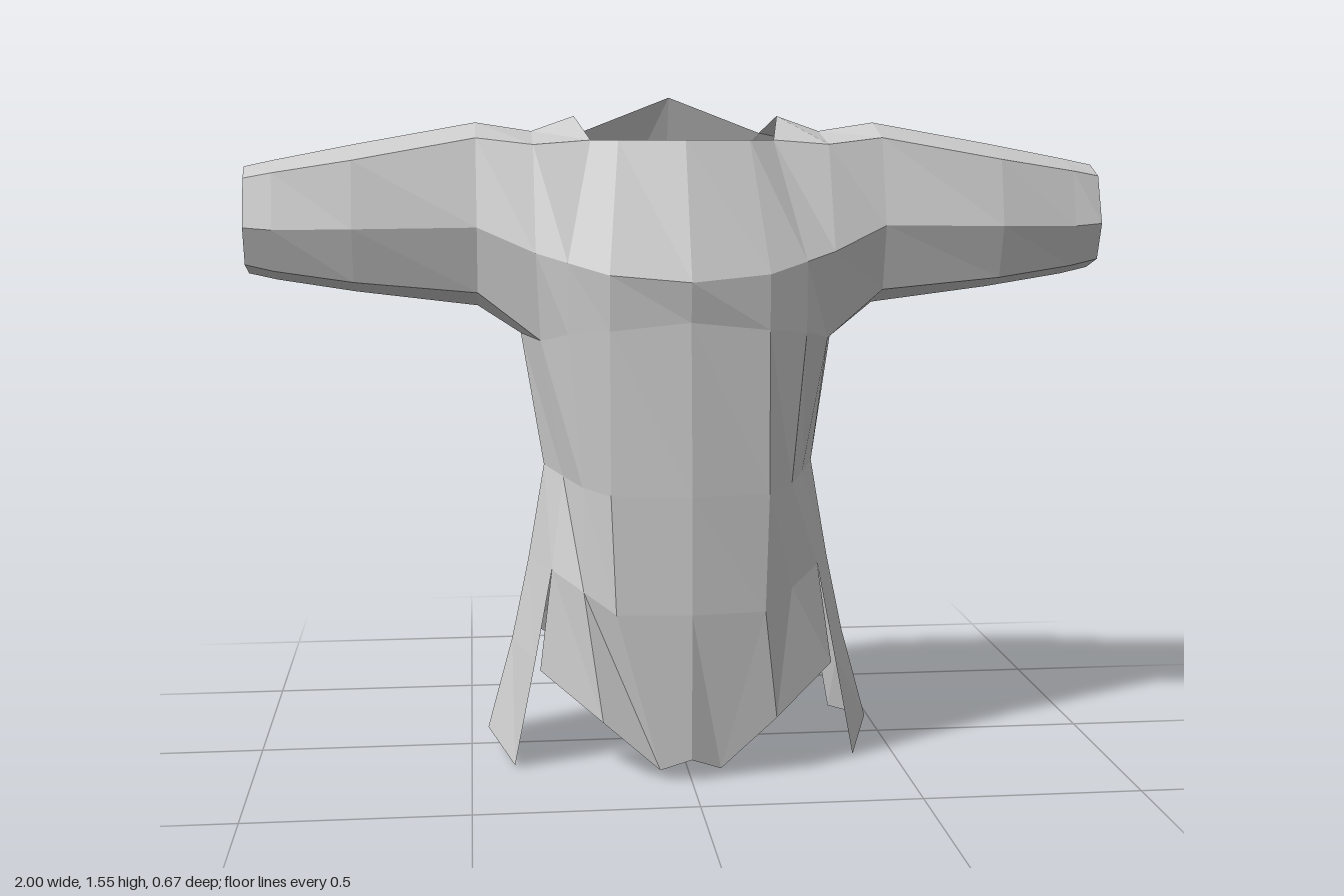
import * as THREE from 'three';

const cloth = new THREE.MeshStandardMaterial({ color: 0xcccccc, flatShading: true, side: THREE.DoubleSide });
cloth.name = 'greyCloth';

// Turns a list of three- or four-cornered faces into a mesh; side -1 mirrors it in x
function panel(name, faces, side) {
  const pos = [];
  for (const f of faces) {
    const pts = side > 0 ? f : [...f].reverse();
    for (let i = 1; i + 1 < pts.length; i++) {
      for (const p of [pts[0], pts[i], pts[i + 1]]) pos.push(p[0] * side, p[1], p[2]);
    }
  }
  const g = new THREE.BufferGeometry();
  g.setAttribute('position', new THREE.Float32BufferAttribute(pos, 3));
  g.computeVertexNormals();
  const m = new THREE.Mesh(g, cloth);
  m.name = name;
  return m;
}

// Quads between neighbouring rows of points
function grid(rows) {
  const faces = [];
  for (let r = 0; r + 1 < rows.length; r++) {
    for (let c = 0; c + 1 < rows[r].length; c++) {
      faces.push([rows[r][c], rows[r + 1][c], rows[r + 1][c + 1], rows[r][c + 1]]);
    }
  }
  return faces;
}

// Half rows of the body, running from the front centre round the side to the back centre
const armpit = [[0, 1.06, 0.31], [0.18, 1.04, 0.29], [0.27, 1.03, 0.25], [0.33, 1.01, 0.18],
  [0.37, 1.01, 0], [0.34, 1.01, -0.22], [0.16, 1.03, -0.305], [0, 1.04, -0.3]];
const waist = [[0, 0.67, 0.335], [0.18, 0.67, 0.3], [0.24, 0.68, 0.24], [0.28, 0.69, 0.14],
  [0.32, 0.7, 0.03], [0.27, 0.7, -0.115], [0.15, 0.7, -0.17], [0, 0.7, -0.175]];
const hip = [[0, 0.4, 0.335], [0.17, 0.4, 0.315], [0.24, 0.44, 0.255], [0.31, 0.48, 0.19],
  [0.36, 0.47, 0.03], [0.31, 0.48, -0.17], [0.16, 0.45, -0.225], [0, 0.45, -0.22]];

// Front and back above the armpits
const frontChest = [[0, 1.15, 0.325], [0.18, 1.165, 0.295], [0.27, 1.19, 0.25], [0.34, 1.21, 0.215]];
const frontNeck = [[0, 1.46, 0.19], [0.15, 1.46, 0.16], [0.21, 1.46, 0.12], [0.34, 1.45, 0.115]];
const backChest = [[0.34, 1.22, -0.27], [0.16, 1.21, -0.335], [0, 1.21, -0.32]];
const backNeck = [[0.34, 1.45, -0.165], [0.22, 1.475, -0.18], [0, 1.56, -0.195]];
const neckTop = [0.24, 1.515, -0.03];
const shoulderTop = [0.34, 1.48, -0.03];

// Sleeve rings: top, then down the front, under the arm and up the back
const shoulderRing = [shoulderTop, frontNeck[3], frontChest[3], armpit[3], armpit[4], armpit[5], backChest[0], backNeck[0]];
const ring = (x, yz) => yz.map(([y, z]) => [x, y, z]);
const sleeveRings = [
  shoulderRing,
  ring(0.47, [[1.5, -0.03], [1.465, 0.09], [1.265, 0.155], [1.115, 0.12], [1.075, -0.01], [1.11, -0.16], [1.24, -0.22], [1.46, -0.155]]),
  ring(0.75, [[1.45, -0.025], [1.415, 0.11], [1.262, 0.145], [1.14, 0.11], [1.11, -0.01], [1.14, -0.13], [1.255, -0.175], [1.415, -0.13]]),
  ring(0.93, [[1.415, -0.015], [1.387, 0.085], [1.26, 0.12], [1.165, 0.085], [1.14, 0], [1.165, -0.095], [1.262, -0.135], [1.39, -0.1]]),
  ring(0.995, [[1.4, -0.01], [1.375, 0.07], [1.265, 0.11], [1.18, 0.08], [1.155, 0], [1.18, -0.08], [1.265, -0.115], [1.375, -0.09]]),
];
sleeveRings[4][0][0] = sleeveRings[4][7][0] = sleeveRings[4][6][0] = 1;
// Rows run along the arm, with the first repeated to close the tube
const sleeveRows = [0, 1, 2, 3, 4, 5, 6, 7, 0].map((i) => sleeveRings.map((r) => r[i]));

// Skirt hems
const frontHem = [[0, 0.06, 0.33], [0.07, 0.03, 0.305], [0.2, 0.145, 0.3], [0.34, 0.25, 0.22]];
const sideMiddle = [[0.35, 0.27, 0.2], [0.4, 0.28, 0.03], [0.36, 0.27, -0.16]];
const sideHem = [[0.4, 0.015, 0.19], [0.46, 0.06, 0.03], [0.4, 0.035, -0.14]];
const backCorner = [0.34, 0.25, -0.2];
const backEdge = [0.2, 0.15, -0.245];
const backTip = [0.06, 0.01, -0.24];
const notchSide = [0.1, 0.22, -0.268];
const notchTop = [0, 0.24, -0.275];

export function createModel() {
  const model = new THREE.Group();
  model.name = 'tunic';
  for (const side of [1, -1]) {
    const half = new THREE.Group();
    half.name = side > 0 ? 'leftHalf' : 'rightHalf';
    const add = (name, faces) => half.add(panel(name, faces, side));

    // Body and shoulders
    add('waist', grid([armpit, waist, hip]));
    add('chest', grid([frontNeck, frontChest, armpit.slice(0, 4)]));
    add('upperBack', grid([backNeck, backChest, armpit.slice(5)]));
    add('shoulder', grid([
      [backNeck[1], backNeck[0]], [neckTop, shoulderTop], [frontNeck[2], frontNeck[3]],
    ]));
    add('sleeve', grid(sleeveRows));

    // Skirt panels, parted by slits
    add('frontSkirt', grid([hip.slice(0, 4), frontHem]));
    add('sideSkirt', grid([hip.slice(3, 6), sideMiddle, sideHem]));
    add('backSkirt', [
      [hip[5], backCorner, backEdge, hip[6]],
      [hip[6], backEdge, notchSide],
      [backEdge, backTip, notchSide],
      [hip[6], notchSide, notchTop, hip[7]],
    ]);
    model.add(half);
  }
  return model;
}
